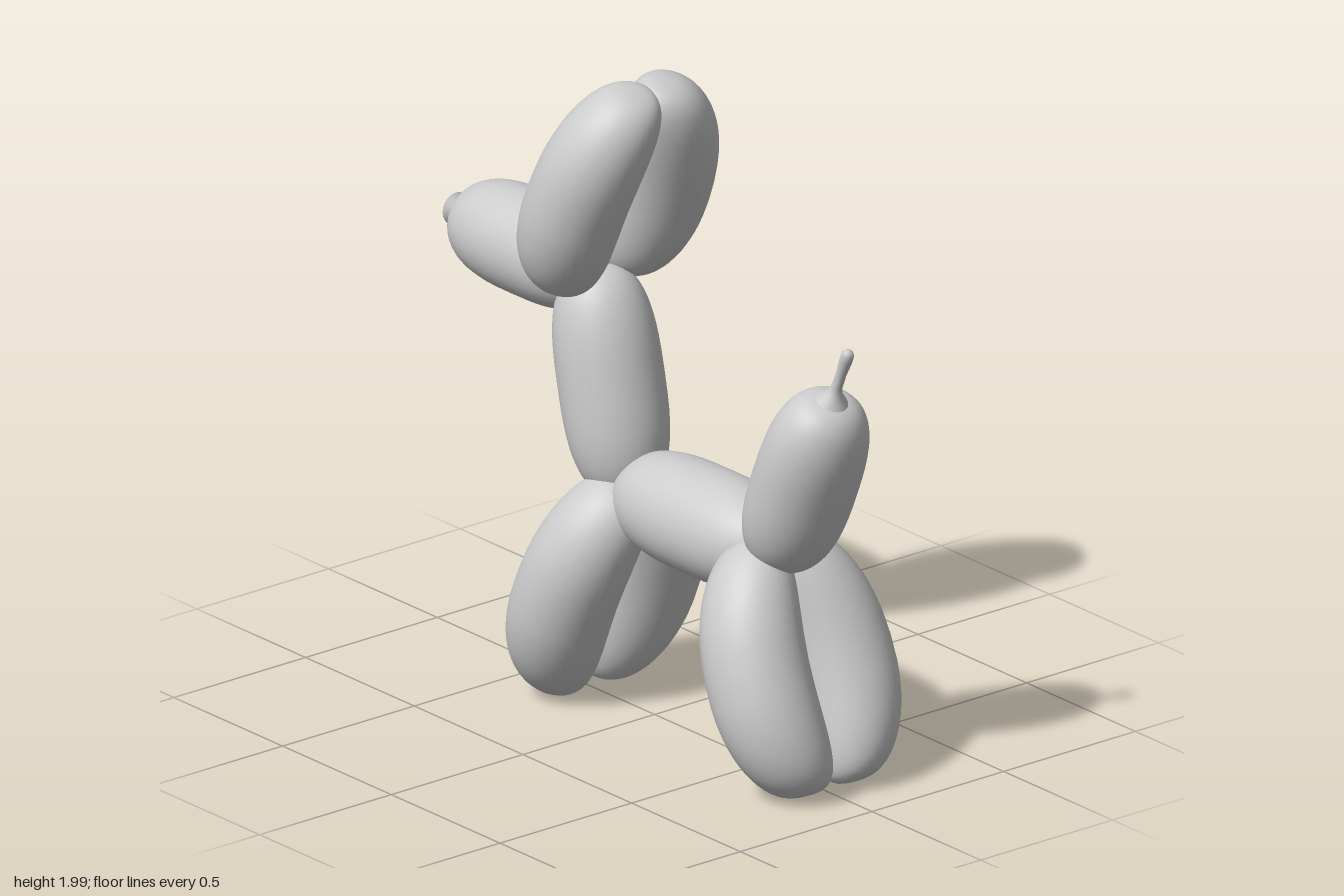
import * as THREE from 'three';
import { mergeVertices } from 'three/addons/utils/BufferGeometryUtils.js';

const material = new THREE.MeshStandardMaterial({ color: 0xcccccc });

// Smooth lathe with welded seam and poles
function smoothLathe(points, segments) {
  const lathe = new THREE.LatheGeometry(points, segments);
  lathe.deleteAttribute('uv');
  lathe.deleteAttribute('normal');
  return mergeVertices(lathe, 1e-5);
}

// Inflated segment from a to b ([x, y, z]); bulge bows its middle sideways in z
function balloon(name, a, b, radius, depth = radius, bulge = 0) {
  const start = new THREE.Vector3(...a), end = new THREE.Vector3(...b);
  const dx = end.x - start.x, dy = end.y - start.y;
  const half = Math.hypot(dx, dy) / 2;
  const power = 2 / 2.85, rows = 32, profile = [];
  for (let i = 0; i <= rows; i++) {
    const angle = (i / rows) * Math.PI;
    const s = i === 0 || i === rows ? 0 : Math.sin(angle);
    const c = Math.cos(angle);
    profile.push(new THREE.Vector2(s ** power, -Math.sign(c) * Math.abs(c) ** power));
  }
  const geometry = smoothLathe(profile, 40);
  const pos = geometry.attributes.position;
  for (let i = 0; i < pos.count; i++) {
    const t = pos.getY(i);
    const centre = THREE.MathUtils.lerp(start.z, end.z, (t + 1) / 2) + bulge * (1 - t * t);
    pos.setXYZ(i, pos.getX(i) * radius, t * half, pos.getZ(i) * depth + centre);
  }
  geometry.computeVertexNormals();
  const mesh = new THREE.Mesh(geometry, material);
  mesh.name = name;
  mesh.position.set((start.x + end.x) / 2, (start.y + end.y) / 2, 0);
  mesh.rotation.z = -Math.atan2(dx, dy);
  return mesh;
}

// Small turned piece given as [radius, height] pairs, pointing along (dx, dy)
function turned(name, pairs, x, y, dx, dy) {
  const geometry = smoothLathe(pairs.map(([r, h]) => new THREE.Vector2(r, h)), 20);
  geometry.computeVertexNormals();
  const mesh = new THREE.Mesh(geometry, material);
  mesh.name = name;
  mesh.position.set(x, y, 0);
  mesh.rotation.z = -Math.atan2(dx, dy);
  return mesh;
}

export function createModel() {
  const model = new THREE.Group();
  model.name = 'balloonDog';

  // Single segments along the middle
  model.add(
    balloon('body', [-0.11, 0.698, 0], [0.59, 0.698, 0], 0.167),
    balloon('neck', [-0.275, 1.35, 0], [-0.125, 0.67, 0], 0.157, 0.16),
    balloon('snout', [-0.865, 1.327, 0], [-0.24, 1.327, 0], 0.159),
    balloon('tail', [0.574, 0.677, 0], [0.816, 1.257, 0], 0.15, 0.165)
  );

  // Paired segments that bow outwards and meet at the middle
  for (const [label, s] of [['left', 1], ['right', -1]]) {
    // The front of the frame (+z) is the first side of each pair
    const side = label === 'left' ? 'Near' : 'Far';
    model.add(
      balloon('ear' + side, [-0.29, 1.313, 0.125 * s], [-0.01, 1.987, 0.06 * s], 0.15, 0.155, 0.067 * s),
      balloon('frontLeg' + side, [-0.36, 0.029, 0.09 * s], [-0.06, 0.747, 0.05 * s], 0.155, 0.157, 0.086 * s),
      balloon('hindLeg' + side, [0.81, 0.029, 0.09 * s], [0.51, 0.747, 0.05 * s], 0.155, 0.157, 0.086 * s)
    );
  }

  // Tied knot on the nose
  model.add(turned('noseKnot',
    [[0.05, 0], [0.03, 0.018], [0.018, 0.035], [0.02, 0.046], [0.03, 0.055], [0, 0.07]].map(
      ([r, h]) => [r, 0.07 - h]).reverse(),
    -0.845, 1.33, -1, 0));
  model.add(turned('noseKnotCap', [[0.05, 0], [0.044, 0.004], [0, 0.002]], -0.912, 1.33, -1, 0));

  // Uninflated end of the tail
  model.add(turned('tailTip',
    [[0.07, -0.03], [0.045, 0.01], [0.025, 0.03], [0.017, 0.06], [0.016, 0.11],
      [0.02, 0.165], [0.019, 0.187], [0.012, 0.197], [0, 0.2]],
    0.815, 1.25, 0.4, 0.92));
  return model;
}
